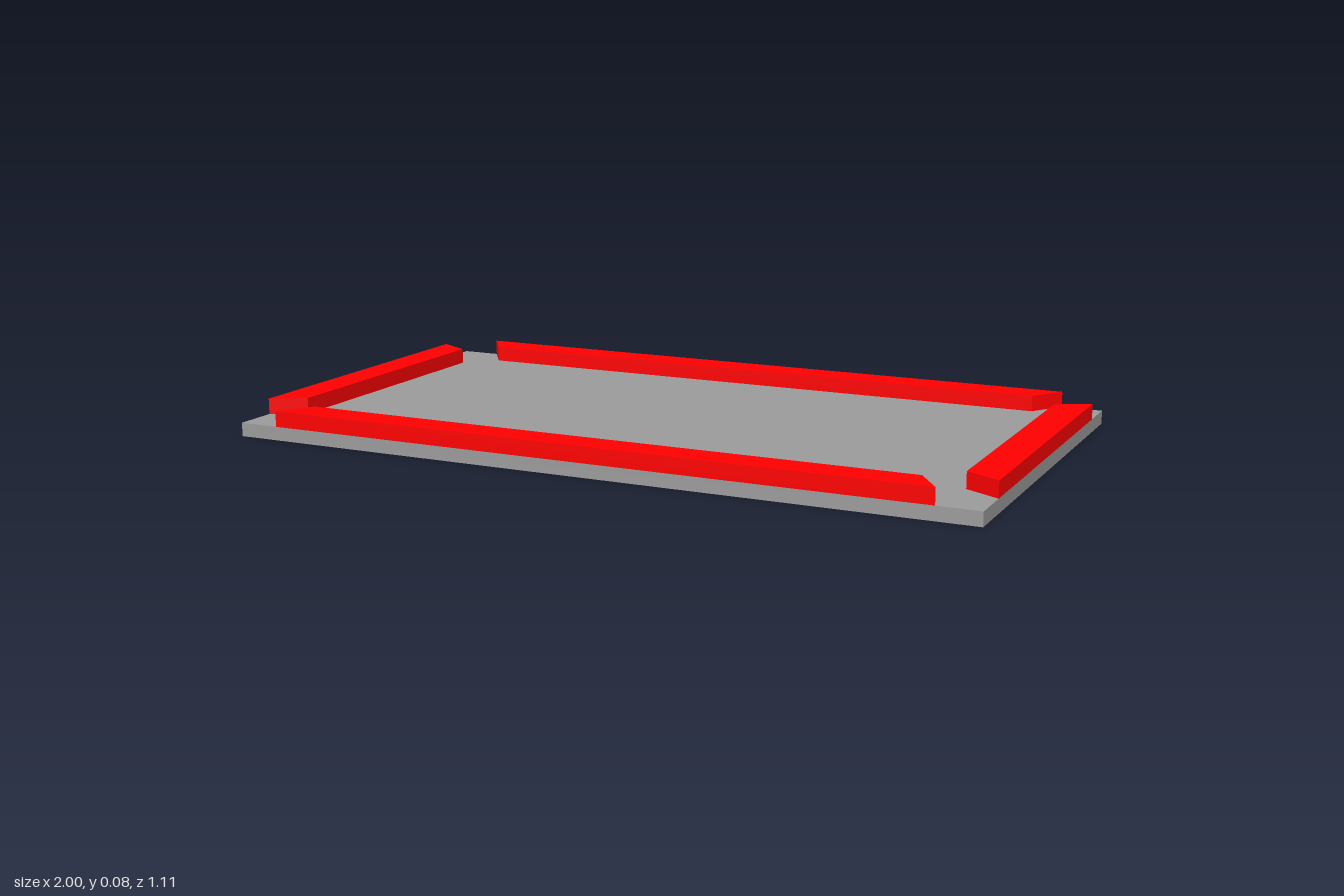
import * as THREE from 'three';

const HALF_X = 1, HALF_Z = 0.556;
const BASE_H = 0.036, RAIL_H = 0.042;

// Rail with mitred ends: long edge outermost, lying on +z before it is turned
function rail(name, outerHalf, innerHalf, innerDist, outerDist, turn, material) {
  const shape = new THREE.Shape([
    new THREE.Vector2(-outerHalf, -outerDist),
    new THREE.Vector2(outerHalf, -outerDist),
    new THREE.Vector2(innerHalf, -innerDist),
    new THREE.Vector2(-innerHalf, -innerDist),
  ]);
  const geometry = new THREE.ExtrudeGeometry(shape, { depth: RAIL_H, bevelEnabled: false });
  geometry.rotateX(-Math.PI / 2);
  const mesh = new THREE.Mesh(geometry, material);
  mesh.name = name;
  mesh.position.y = BASE_H;
  mesh.rotation.y = turn;
  return mesh;
}

export function createModel() {
  const group = new THREE.Group();
  group.name = 'railedTray';
  const darkGrey = new THREE.MeshStandardMaterial({ color: 0x9b9b9b });
  const red = new THREE.MeshStandardMaterial({ color: 0xff0000 });

  // Flat base plate
  const base = new THREE.Mesh(new THREE.BoxGeometry(HALF_X * 2, BASE_H, HALF_Z * 2), darkGrey);
  base.name = 'basePlate';
  base.position.y = BASE_H / 2;
  group.add(base);

  // Long rails at front and back, short rails at the sides
  group.add(
    rail('frontRail', 0.89, 0.83, 0.468, HALF_Z, 0, red),
    rail('backRail', 0.89, 0.83, 0.468, HALF_Z, Math.PI, red),
    rail('leftRail', 0.44, 0.39, 0.91, HALF_X, Math.PI / 2, red),
    rail('rightRail', 0.44, 0.39, 0.91, HALF_X, -Math.PI / 2, red),
  );
  return group;
}
